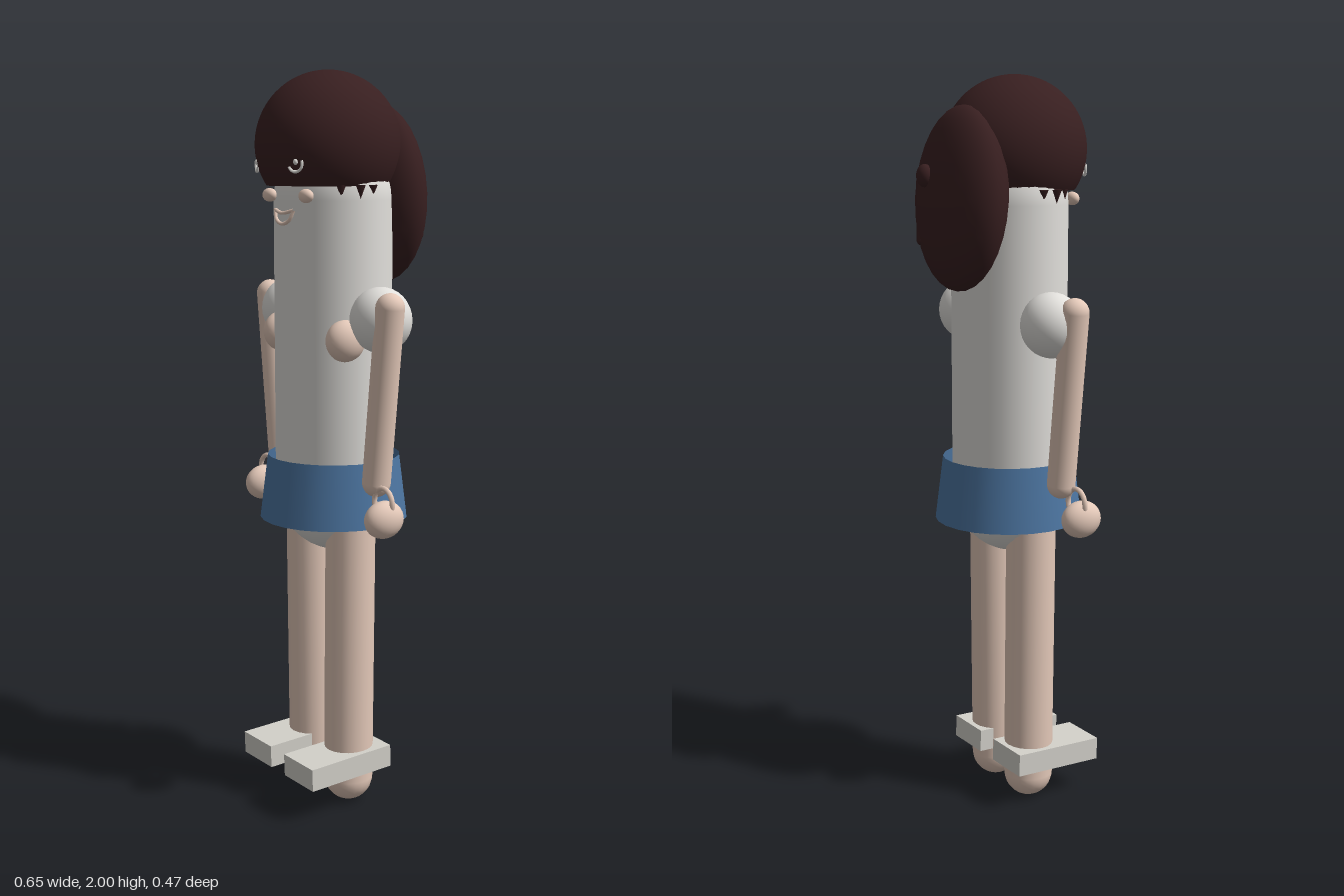
import * as THREE from 'three';

const mat = (name, color, extra = {}) => {
  const m = new THREE.MeshStandardMaterial({ color, ...extra });
  m.name = name;
  return m;
};

export function createModel() {
  const root = new THREE.Group();
  root.name = 'figure';

  const shirt = mat('shirtWhite', 0xe2e0dc);
  const skin = mat('skin', 0xe4c9b9);
  const hair = mat('darkHair', 0x381f20, { side: THREE.DoubleSide });
  const blue = mat('skirtBlue', 0x4d76a2, { side: THREE.DoubleSide });
  const shoe = mat('shoeGrey', 0xd4d2cb);

  const add = (name, geometry, material, pos = [0, 0, 0], scale = [1, 1, 1], rot = [0, 0, 0]) => {
    const mesh = new THREE.Mesh(geometry, material);
    mesh.name = name;
    mesh.position.set(...pos);
    mesh.scale.set(...scale);
    mesh.rotation.set(...rot);
    root.add(mesh);
    return mesh;
  };
  const ball = (name, material, pos, radii, rot) =>
    add(name, new THREE.SphereGeometry(1, 24, 16), material, pos, radii, rot);

  // Capsule whose cap centres sit at a and b
  const limb = (name, material, a, b, radius) => {
    const p = new THREE.Vector3(...a), q = new THREE.Vector3(...b);
    const dir = q.clone().sub(p);
    const mesh = add(name, new THREE.CapsuleGeometry(radius, dir.length(), 8, 20), material);
    mesh.position.copy(p).add(q).multiplyScalar(0.5);
    mesh.quaternion.setFromUnitVectors(new THREE.Vector3(0, 1, 0), dir.normalize());
  };

  // Torso and skirt
  add('torso', new THREE.CapsuleGeometry(0.175, 0.78, 10, 32), shirt, [0, 1.275, 0.025], [1, 1, 0.857]);
  add('skirt', new THREE.CylinderGeometry(0.181, 0.203, 0.175, 24, 1, true), blue, [0, 0.89, 0.023]);

  // Hair dome, open underneath, with the back bun
  add('hairDome', new THREE.SphereGeometry(0.194, 36, 24, 0, Math.PI * 2, 0, 2.14), hair, [0, 1.806, 0.04]);
  ball('backHair', hair, [0, 1.68, -0.125], [0.18, 0.242, 0.094], [0.06, 0, 0]);
  ball('hairKnot', hair, [0.038, 1.74, -0.212], [0.026, 0.03, 0.022]);
  limb('hairStrand', hair, [0.095, 1.72, -0.19], [0.095, 1.57, -0.19], 0.015);

  // Mouth: smiling lower lip under a flatter upper line
  const curve = (pts, r) => new THREE.TubeGeometry(
    new THREE.CatmullRomCurve3(pts.map(p => new THREE.Vector3(...p))), 16, r, 6);
  add('lowerLip', curve([[-0.043, 1.64, 0.18], [-0.03, 1.615, 0.185], [0, 1.604, 0.187],
    [0.03, 1.615, 0.185], [0.043, 1.64, 0.18]], 0.005), skin);
  add('upperLip', curve([[-0.043, 1.64, 0.18], [0, 1.632, 0.187], [0.043, 1.64, 0.18]], 0.005), skin);

  for (const s of [-1, 1]) {
    const side = s > 0 ? 'left' : 'right';

    // Face details
    ball(side + 'Cheek', skin, [s * 0.085, 1.677, 0.17], [0.026, 0.018, 0.016]);
    add(side + 'EyeRim', new THREE.TorusGeometry(0.02, 0.004, 6, 16, Math.PI), shirt,
      [s * 0.09, 1.758, 0.206], [1, 1, 1], [0, s * 0.45, Math.PI + s * 0.4]);
    ball(side + 'EyeGlint', shirt, [s * 0.09, 1.763, 0.205], [0.007, 0.008, 0.006]);

    // Loose locks below the dome
    for (const [x, z, len] of [[0.142, 0.1, 0.05], [0.172, 0.06, 0.035], [0.17, 0.02, 0.03]]) {
      add(side + 'Lock', new THREE.ConeGeometry(0.013, len, 8), hair,
        [s * x, 1.705 - len / 2, z], [1, 1, 1], [Math.PI, 0, 0]);
    }

    // Chest, shoulder, arm and hand
    ball(side + 'Chest', skin, [s * 0.148, 1.305, 0.09], [0.043, 0.056, 0.057]);
    ball(side + 'Shoulder', shirt, [s * 0.208, 1.36, 0.021], [0.085, 0.086, 0.081]);
    limb(side + 'Arm', skin, [s * 0.278, 1.398, 0.045], [s * 0.224, 0.935, 0.045], 0.038);
    ball(side + 'Hand', skin, [s * 0.286, 0.85, 0.067], [0.039, 0.05, 0.058]);
    add(side + 'Bracelet', new THREE.TorusGeometry(0.038, 0.007, 8, 24), skin, [s * 0.274, 0.892, 0.06]);

    // Leg and slab shoe
    limb(side + 'Leg', skin, [s * 0.096, 0.85, 0.035], [s * 0.086, 0.069, 0.035], 0.068);
    add(side + 'Shoe', new THREE.BoxGeometry(0.137, 0.062, 0.265), shoe,
      [s * 0.102, 0.128, 0.083], [1, 1, 1], [0.035, 0, 0]);
  }

  return root;
}
